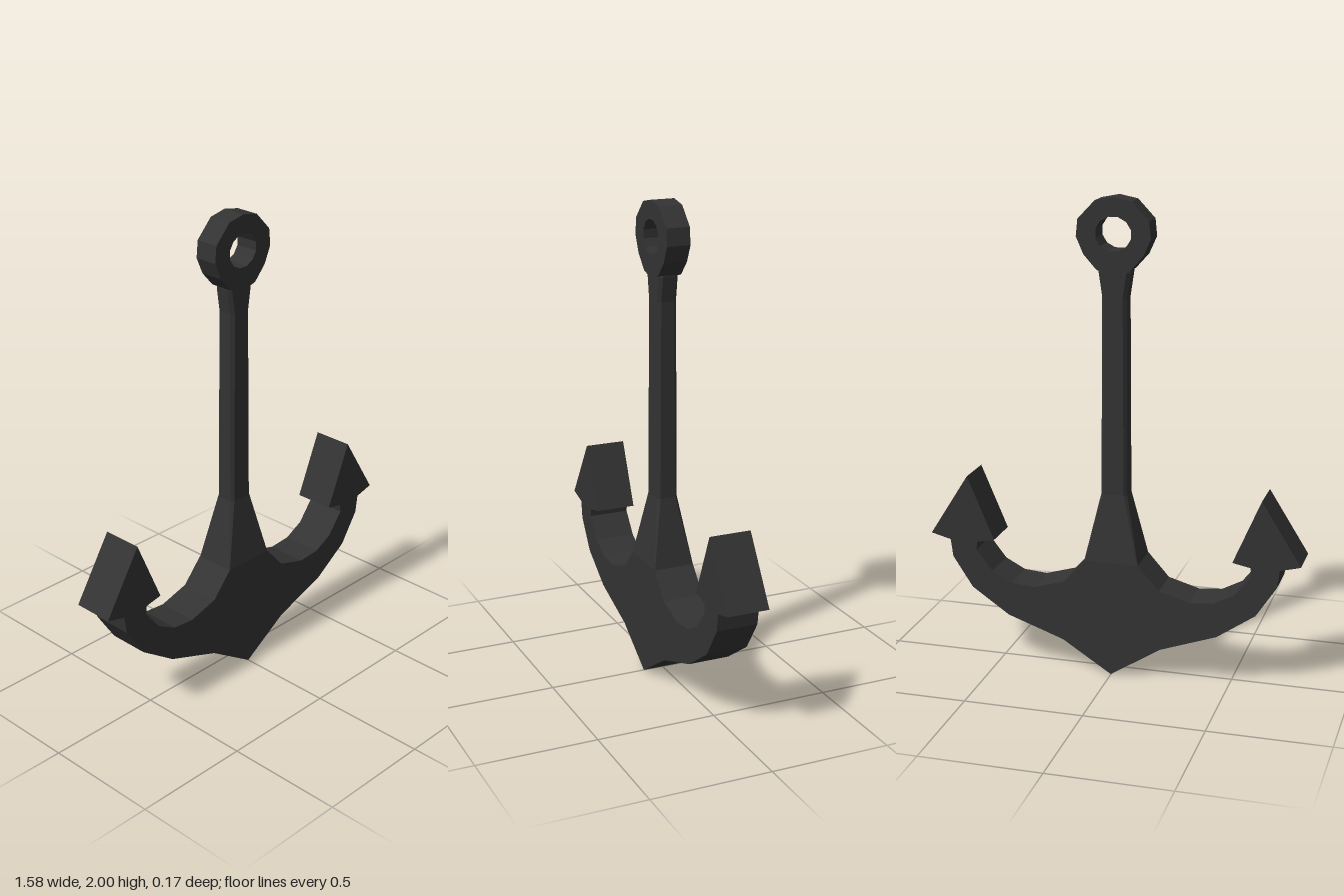
import * as THREE from 'three';

const material = new THREE.MeshStandardMaterial({ color: 0x333333, flatShading: true });

// Closed outline from its right half (bottom to top), mirrored across x = 0
function mirroredShape(half) {
  const left = half.filter(([x]) => x > 0).reverse().map(([x, y]) => [-x, y]);
  return new THREE.Shape([...half, ...left].map(([x, y]) => new THREE.Vector2(x, y)));
}

function slab(name, shape, depth) {
  const geometry = new THREE.ExtrudeGeometry(shape, { depth, bevelEnabled: false });
  geometry.translate(0, 0, -depth / 2);
  const mesh = new THREE.Mesh(geometry, material);
  mesh.name = name;
  return mesh;
}

// Loft of chamfered rectangles; each section is [y, half width, half depth, chamfer]
function loft(name, sections) {
  const positions = [], index = [];
  for (const [y, w, d, c] of sections) {
    const corners = [[w, d - c], [w - c, d], [c - w, d], [-w, d - c],
      [-w, c - d], [c - w, -d], [w - c, -d], [w, c - d]];
    for (const [x, z] of corners) positions.push(x, y, z);
  }
  for (let s = 0; s < sections.length - 1; s++) {
    for (let i = 0; i < 8; i++) {
      const a = s * 8 + i, b = s * 8 + (i + 1) % 8;
      index.push(a, a + 8, b, b, a + 8, b + 8);
    }
  }
  // Orient outward: corners run from +x through +z to -x
  for (let i = 0; i < index.length; i += 3) {
    const [a, b, c] = [index[i], index[i + 1], index[i + 2]]
      .map((k) => new THREE.Vector3().fromArray(positions, k * 3));
    const normal = b.clone().sub(a).cross(c.clone().sub(a));
    const middle = a.add(b).add(c).setY(0);
    if (normal.dot(middle) < 0) [index[i + 1], index[i + 2]] = [index[i + 2], index[i + 1]];
  }
  const indexed = new THREE.BufferGeometry();
  indexed.setAttribute('position', new THREE.Float32BufferAttribute(positions, 3));
  indexed.setIndex(index);
  const geometry = indexed.toNonIndexed();
  geometry.computeVertexNormals();
  const mesh = new THREE.Mesh(geometry, material);
  mesh.name = name;
  return mesh;
}

export function createModel() {
  const anchor = new THREE.Group();
  anchor.name = 'anchor';

  // Crown, curved arms and arrow-shaped flukes
  anchor.add(slab('crownAndArms', mirroredShape([
    [0, 0], [0.21, 0.135], [0.45, 0.22], [0.61, 0.33], [0.695, 0.46], [0.705, 0.535],
    [0.79, 0.557], [0.625, 0.82], [0.51, 0.55], [0.585, 0.535], [0.59, 0.5],
    [0.52, 0.41], [0.435, 0.365], [0.335, 0.357], [0.205, 0.395], [0.115, 0.497],
  ]), 0.174));

  // Shank: wide tapered foot, chamfered bar, flared neck
  anchor.add(loft('shank', [
    [0.497, 0.115, 0.087, 0.002], [0.78, 0.055, 0.045, 0.012],
    [1.6, 0.051, 0.042, 0.014], [1.7, 0.066, 0.042, 0.014], [1.76, 0.07, 0.03, 0.014],
  ]));

  // Eye at the top, with a round hole
  const eye = mirroredShape([
    [0.035, 1.7], [0.068, 1.71], [0.122, 1.77], [0.153, 1.84], [0.146, 1.91],
    [0.075, 1.985], [0, 2],
  ]);
  const hole = [];
  for (let i = 0; i < 12; i++) {
    const t = (i + 0.5) * Math.PI / 6;
    hole.push(new THREE.Vector2(0.075 * Math.cos(t), 1.855 + 0.07 * Math.sin(t)));
  }
  eye.holes.push(new THREE.Path(hole));
  anchor.add(slab('eye', eye, 0.1));

  return anchor;
}
